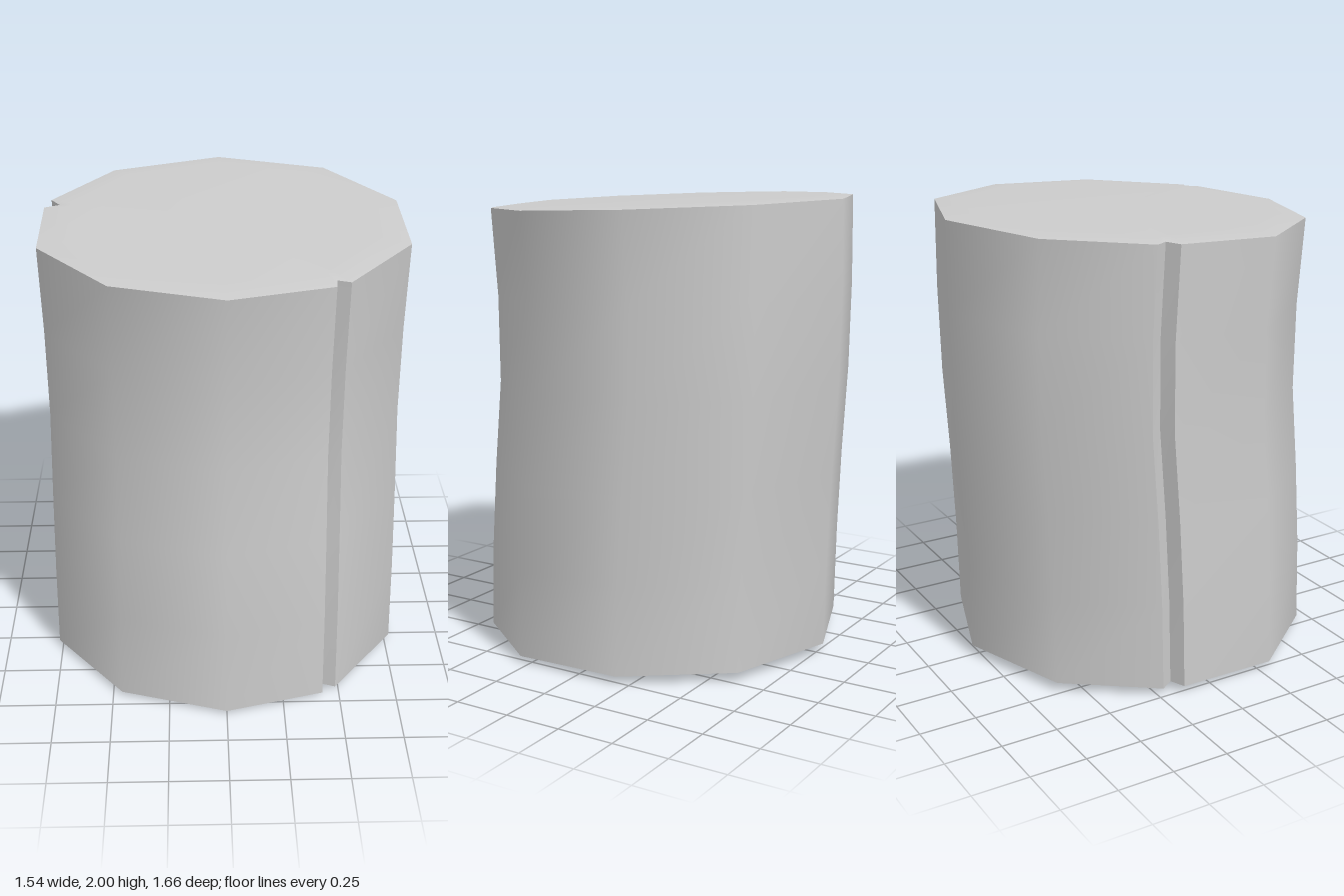
import * as THREE from 'three';

// Outline at the top [x, z], counter-clockwise from above: two runs of bark with a split after each.
const BARK = [
  [[0.485, 0.625], [0.77, 0.25], [0.77, -0.245], [0.485, -0.67], [0, -0.83], [-0.485, -0.655], [-0.745, -0.28]],
  [[-0.77, -0.19], [-0.765, 0.26], [-0.46, 0.64], [0, 0.78], [0.425, 0.665]],
];
const SPLIT = [[-0.705, -0.22], [0.43, 0.605]];

// Rings up the log: [height fraction, shift in z, scale].
const RINGS = [[0, 0.047, 1], [0.2, 0.037, 0.997], [0.4, 0.016, 0.99], [0.6, -0.013, 0.982],
  [0.8, -0.016, 0.987], [1, 0, 1]];
const MID_Z = -0.025;

// The sawn ends are slightly tilted; the rim falls away a little.
const topY = (z, rim) => 1.969 - 0.04 * z - (rim ? 0.013 : 0);
const bottomY = (z, rim) => 0.015 - 0.019 * z + (rim ? 0.018 : 0);

function place([x, z], [t, shift, scale], inset = 1) {
  const s = scale * inset;
  const px = x * s;
  const pz = MID_Z + (z - MID_Z) * s + shift;
  const rim = inset === 1;
  return [px, THREE.MathUtils.lerp(bottomY(pz, rim), topY(pz, rim), t), pz];
}

function makeMesh(name, positions, index) {
  const geometry = new THREE.BufferGeometry();
  geometry.setAttribute('position', new THREE.Float32BufferAttribute(positions.flat(), 3));
  geometry.setIndex(index);
  geometry.computeVertexNormals();
  const mesh = new THREE.Mesh(geometry, new THREE.MeshStandardMaterial({ color: 0xcccccc }));
  mesh.name = name;
  return mesh;
}

// Smooth wall following one run of the outline.
function wall(name, points) {
  const n = points.length;
  const positions = RINGS.flatMap((ring) => points.map((p) => place(p, ring)));
  const index = [];
  for (let j = 0; j < RINGS.length - 1; j++) {
    for (let i = 0; i < n - 1; i++) {
      const a = j * n + i;
      index.push(a, a + 1, a + n + 1, a, a + n + 1, a + n);
    }
  }
  return makeMesh(name, positions, index);
}

// End face: sloping rim, inner ring and centre.
function endFace(name, ring, up) {
  const rim = [];
  const inner = [];
  BARK.forEach((run, k) => {
    [...run, SPLIT[k]].forEach((p, i) => {
      rim.push(place(p, ring));
      inner.push(place(p, ring, i === run.length ? 0.91 : 0.85));
    });
  });
  const n = rim.length;
  const positions = [...rim, ...inner, place([0, MID_Z], ring, 0.5)];
  const index = [];
  const tri = (a, b, c) => (up ? index.push(a, b, c) : index.push(a, c, b));
  for (let i = 0; i < n; i++) {
    const k = (i + 1) % n;
    tri(i, k, n + k);
    tri(i, n + k, n + i);
    tri(2 * n, n + i, n + k);
  }
  return makeMesh(name, positions, index);
}

export function createModel() {
  const log = new THREE.Group();
  log.name = 'log';
  BARK.forEach((run, k) => {
    const last = run[run.length - 1];
    const next = BARK[1 - k][0];
    log.add(wall(`bark${k + 1}`, run));
    // Two faces of the split in the bark
    log.add(wall(`split${k + 1}SideA`, [last, SPLIT[k]]));
    log.add(wall(`split${k + 1}SideB`, [SPLIT[k], next]));
  });
  log.add(endFace('topEnd', RINGS[RINGS.length - 1], true));
  log.add(endFace('bottomEnd', RINGS[0], false));
  return log;
}
